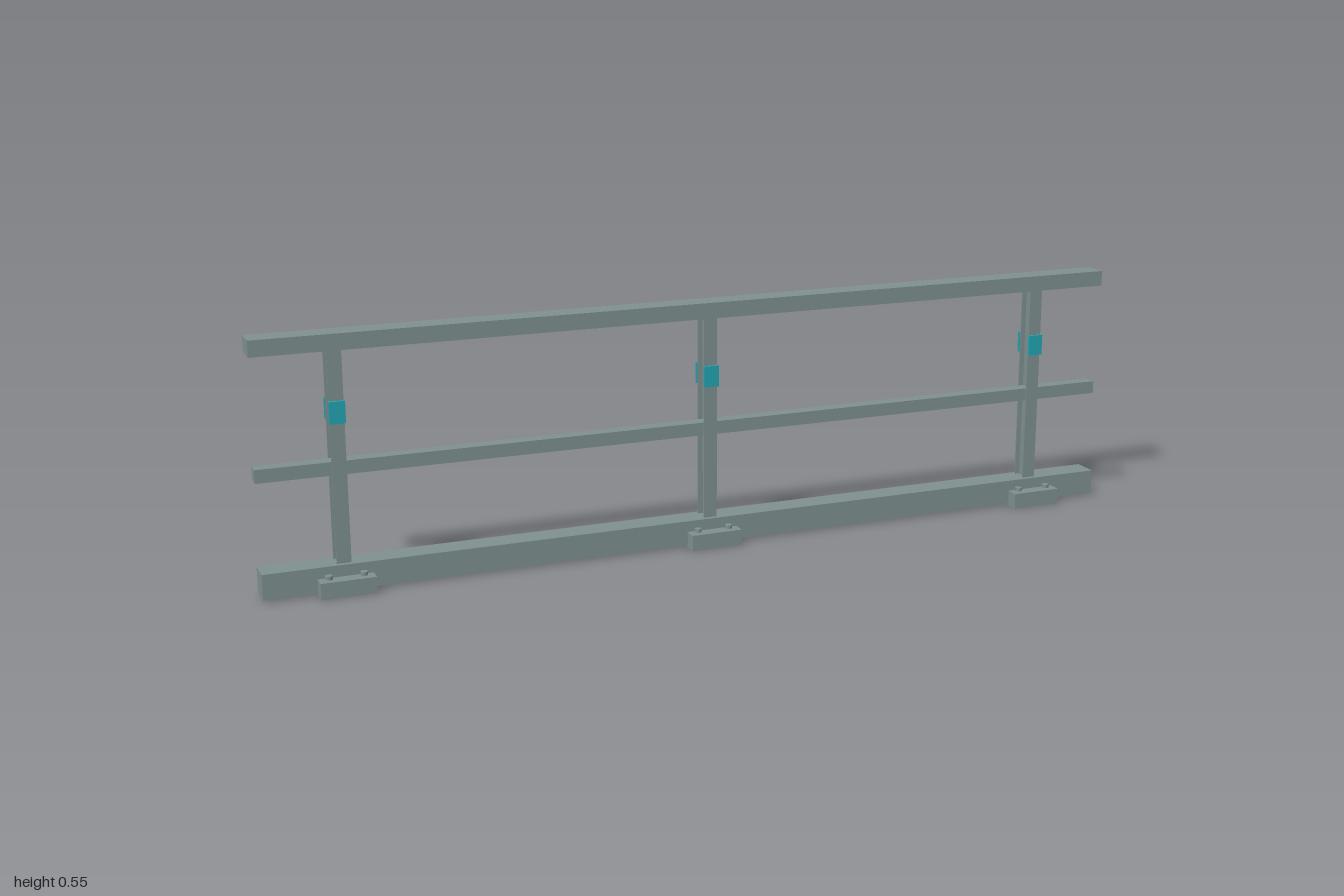
import * as THREE from 'three';

export function createModel() {
  const model = new THREE.Group();
  model.name = 'railing';
  const steel = new THREE.MeshStandardMaterial({ color: 0x7f9090 });
  const teal = new THREE.MeshStandardMaterial({ color: 0x22a5b3 });

  const add = (parent, name, geometry, x, y, z, material = steel) => {
    const mesh = new THREE.Mesh(geometry, material);
    mesh.name = name;
    mesh.position.set(x, y, z);
    parent.add(mesh);
    return mesh;
  };

  // Horizontal members: [name, bottom, top, depth]
  for (const [name, y0, y1, depth] of [
    ['baseBeam', 0.005, 0.061, 0.059],
    ['middleRail', 0.252, 0.281, 0.032],
    ['topRail', 0.517, 0.552, 0.056],
  ]) {
    add(model, name, new THREE.BoxGeometry(2, y1 - y0, depth), 0, (y0 + y1) / 2, 0);
  }

  // I-beam section of a post: flanges at front and back, web between
  const w = 0.0155, d = 0.019, web = 0.004, inner = 0.016;
  const section = new THREE.Shape([
    [-w, -d], [w, -d], [w, -inner], [web, -inner], [web, inner], [w, inner],
    [w, d], [-w, d], [-w, inner], [-web, inner], [-web, -inner], [-w, -inner],
  ].map(([x, z]) => new THREE.Vector2(x, z)));
  const postGeometry = new THREE.ExtrudeGeometry(section, { depth: 0.46, bevelEnabled: false });
  postGeometry.rotateX(-Math.PI / 2);

  const footGeometry = new THREE.BoxGeometry(0.118, 0.036, 0.119);
  const boltGeometry = new THREE.CylinderGeometry(0.008, 0.008, 0.01, 12);
  const markerGeometry = new THREE.BoxGeometry(0.034, 0.047, 0.007);

  for (const x of [-0.827, 0, 0.827]) {
    const support = new THREE.Group();
    support.name = 'support';
    support.position.x = x;
    add(support, 'post', postGeometry, 0, 0.058, 0);
    add(support, 'footPlate', footGeometry, 0, 0.018, 0);
    // Bolts along the front of the foot
    for (const side of [-1, 1]) add(support, 'bolt', boltGeometry, side * 0.037, 0.039, 0.037);
    // Coloured markers on the front and back flanges
    for (const side of [-1, 1]) add(support, 'marker', markerGeometry, 0, 0.3865, side * 0.0228, teal);
    model.add(support);
  }
  return model;
}
